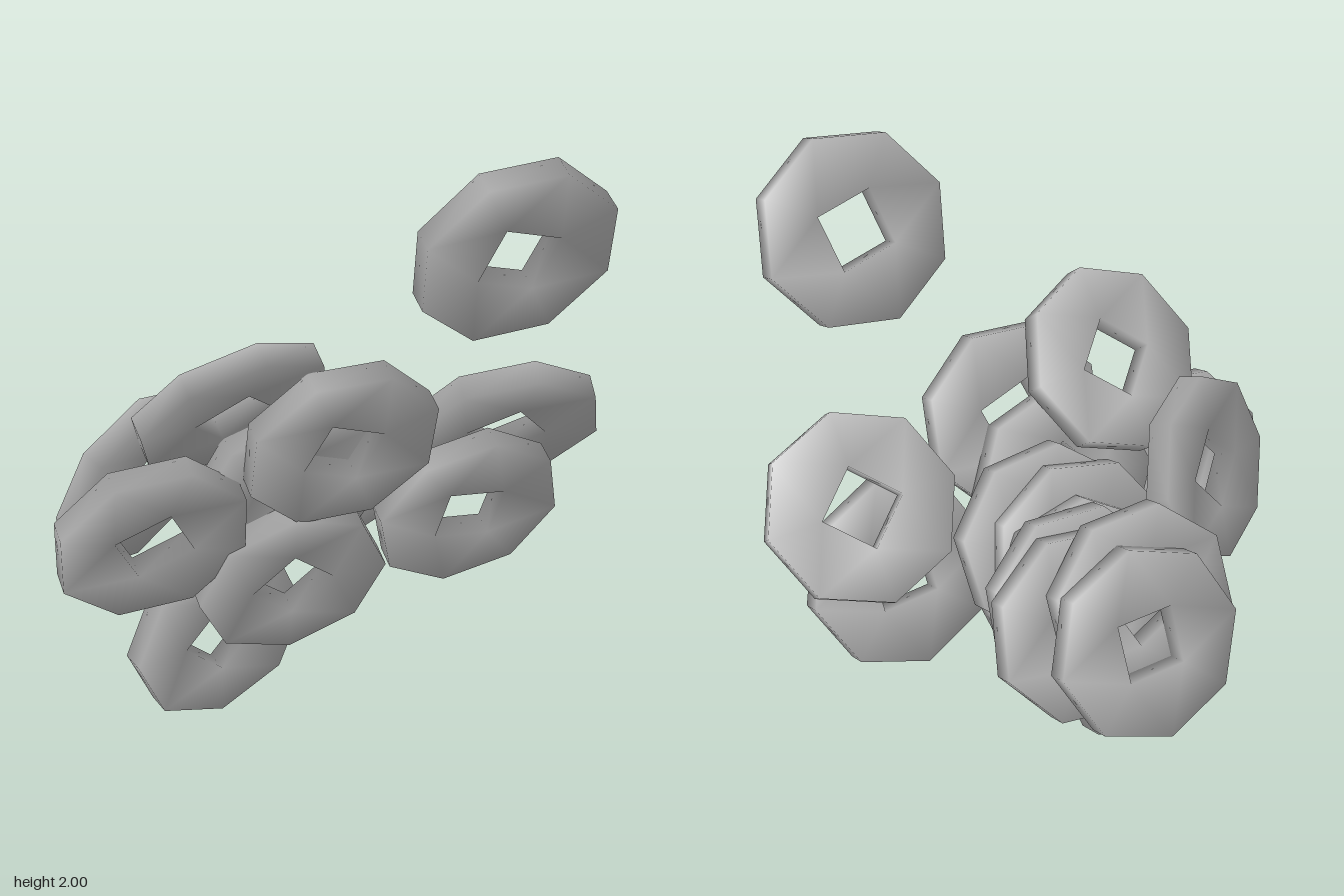
import * as THREE from 'three';

const RADIUS = 0.297, HOLE = 0.128, HALF = 0.038;

// Eight-sided coin with a square hole; shared corners give soft shading
function coinGeometry() {
  const pos = [], idx = [];
  const ring = (n, r, z) => {
    const start = pos.length / 3;
    for (let i = 0; i < n; i++) {
      const a = (i / n) * Math.PI * 2;
      pos.push(r * Math.cos(a), r * Math.sin(a), z);
    }
    return i => start + (i % n);
  };
  const of = ring(8, RADIUS, HALF), ob = ring(8, RADIUS, -HALF);
  const hf = ring(4, HOLE, HALF), hb = ring(4, HOLE, -HALF);
  const face = (o, h, flip) => {
    const tri = (a, b, c) => flip ? idx.push(a, c, b) : idx.push(a, b, c);
    for (let k = 0; k < 4; k++) {
      tri(h(k), o(2 * k), o(2 * k + 1));
      tri(h(k), o(2 * k + 1), h(k + 1));
      tri(h(k + 1), o(2 * k + 1), o(2 * k + 2));
    }
  };
  face(of, hf, false);
  face(ob, hb, true);
  // Outer rim and hole walls
  for (let i = 0; i < 8; i++) idx.push(ob(i), ob(i + 1), of(i + 1), ob(i), of(i + 1), of(i));
  for (let i = 0; i < 4; i++) idx.push(hf(i), hf(i + 1), hb(i + 1), hf(i), hb(i + 1), hb(i));
  const g = new THREE.BufferGeometry();
  g.setAttribute('position', new THREE.Float32BufferAttribute(pos, 3));
  g.setIndex(idx);
  g.computeVertexNormals();
  return g;
}

export function createModel() {
  const model = new THREE.Group();
  model.name = 'coinPile';
  const metal = new THREE.MeshStandardMaterial({ color: 0xc0c0c0 });
  metal.name = 'greyMetal';
  const geometry = coinGeometry();

  const addCoin = (name, center, roll, normal = [0, -0.25, 0.97]) => {
    const n = new THREE.Vector3(...normal).normalize();
    const u = new THREE.Vector3(0, 1, 0).cross(n).normalize();
    const v = n.clone().cross(u);
    const coin = new THREE.Mesh(geometry, metal);
    coin.name = name;
    coin.quaternion.setFromRotationMatrix(new THREE.Matrix4().makeBasis(u, v, n));
    coin.rotateZ(THREE.MathUtils.degToRad(roll));
    coin.position.set(...center);
    model.add(coin);
  };

  // Coins facing forward, each leaning slightly over
  addCoin('floatingCoin', [0.418, 1.72, 0.458], 26);
  addCoin('upperFrontCoin', [-0.018, 1.087, 0.288], 22);
  addCoin('lowerFrontCoin', [-0.128, 0.546, 0.15], 2);
  addCoin('rightFrontCoin', [0.425, 0.706, 0.19], 36);
  addCoin('leftFrontCoin', [-0.572, 0.842, 0.22], -20);

  // Loose coins turned at other angles
  addCoin('rightTiltedCoin', [0.553, 0.965, 0.163], -10, [-0.15, -0.57, 1]);
  addCoin('upperLeftTiltedCoin', [-0.325, 1.24, 0.224], -4, [0.15, -0.66, 1]);
  addCoin('leftTiltedCoin', [-0.55, 0.91, 0.01], 3, [0.5, -0.25, 0.87]);
  addCoin('bottomCoin', [-0.328, 0.298, 0.024], 0, [0.23, -0.04, 0.97]);

  // Stack running towards the back: x, y, z, roll
  [
    [-0.125, 0.9, 0.163, 0],
    [0, 0.79, 0.027, 12],
    [-0.075, 0.755, -0.045, 30],
    [-0.04, 0.67, -0.135, 5],
    [0.015, 0.69, -0.205, 20],
    [0.045, 0.664, -0.29, 25],
    [-0.108, 0.738, -0.36, 15],
    [-0.067, 0.66, -0.458, 38],
  ].forEach(([x, y, z, roll], i) => addCoin('stackCoin' + (i + 1), [x, y, z], roll));

  return model;
}
